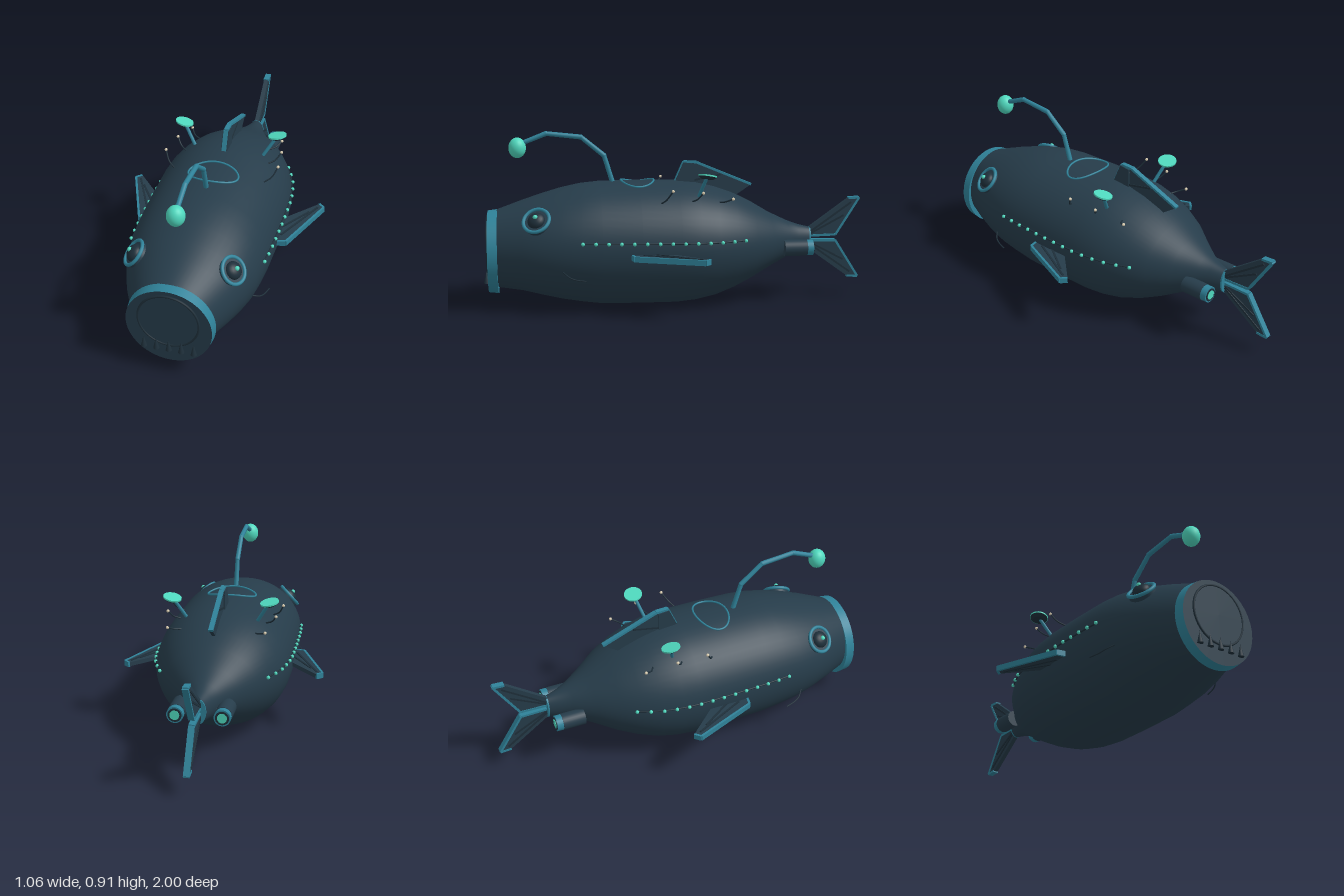
import * as THREE from 'three';

const mat = (name, color, side = THREE.FrontSide) => {
  const m = new THREE.MeshStandardMaterial({ color, side });
  m.name = name;
  return m;
};
const V = (x, y, z) => new THREE.Vector3(x, y, z);

// Hull stations: z, half width, bottom, top
const HULL = [
  [0.94, 0.195, 0.105, 0.505], [0.8, 0.267, 0.085, 0.555], [0.7, 0.305, 0.06, 0.588],
  [0.6, 0.331, 0.037, 0.617], [0.5, 0.343, 0.02, 0.638], [0.4, 0.35, 0.007, 0.648],
  [0.2, 0.355, 0.003, 0.65], [0, 0.355, 0.003, 0.648], [-0.1, 0.348, 0.013, 0.638],
  [-0.2, 0.328, 0.035, 0.615], [-0.3, 0.291, 0.073, 0.58], [-0.4, 0.24, 0.122, 0.53],
  [-0.5, 0.165, 0.178, 0.47], [-0.6, 0.093, 0.228, 0.422], [-0.66, 0.062, 0.246, 0.4],
  [-0.72, 0.04, 0.257, 0.385],
];

function section(z) {
  let i = 0;
  while (i < HULL.length - 2 && HULL[i + 1][0] > z) i++;
  const a = HULL[i], b = HULL[i + 1], t = (a[0] - z) / (a[0] - b[0]);
  const [rx, lo, hi] = [1, 2, 3].map((k) => a[k] + (b[k] - a[k]) * t);
  return { rx, ry: (hi - lo) / 2, cy: (hi + lo) / 2 };
}
const hullX = (y, z) => {
  const s = section(z);
  return s.rx * Math.sqrt(Math.max(0, 1 - ((y - s.cy) / s.ry) ** 2));
};
const hullY = (x, z) => {
  const s = section(z);
  return s.cy + s.ry * Math.sqrt(Math.max(0, 1 - (x / s.rx) ** 2));
};

function hullGeometry() {
  const n = 56, pos = [], idx = [];
  for (const [z] of HULL) {
    const s = section(z);
    for (let j = 0; j < n; j++) {
      const a = (j / n) * Math.PI * 2;
      pos.push(s.rx * Math.cos(a), s.cy + s.ry * Math.sin(a), z);
    }
  }
  for (let i = 0; i < HULL.length - 1; i++) {
    for (let j = 0; j < n; j++) {
      const a = i * n + j, b = i * n + ((j + 1) % n), c = a + n, d = b + n;
      idx.push(a, c, b, b, c, d);
    }
  }
  const g = new THREE.BufferGeometry();
  g.setAttribute('position', new THREE.Float32BufferAttribute(pos, 3));
  g.setIndex(idx);
  g.computeVertexNormals();
  return g;
}

export function createModel() {
  const model = new THREE.Group();
  model.name = 'anglerSubmarine';
  const navy = mat('hullNavy', 0x263c4a);
  const dark = mat('darkTrim', 0x1e2f3a);
  const teal = mat('tealTrim', 0x2f8299);
  const glow = mat('glowGreen', 0x4fd8be);
  const cream = mat('creamTips', 0xd9ccb0);

  const add = (name, geo, material, p = [0, 0, 0], parent = model) => {
    const m = new THREE.Mesh(geo, material);
    m.name = name;
    m.position.set(...p);
    parent.add(m);
    return m;
  };
  const tube = (name, pts, r, material, closed = false, seg = 24) =>
    add(name, new THREE.TubeGeometry(new THREE.CatmullRomCurve3(pts, closed), seg, r, 8, closed), material);
  const rod = (name, a, b, r, material, r2 = r) => {
    const m = add(name, new THREE.CylinderGeometry(r2, r, a.distanceTo(b), 12), material);
    m.position.copy(a).add(b).multiplyScalar(0.5);
    m.quaternion.setFromUnitVectors(V(0, 1, 0), b.clone().sub(a).normalize());
    return m;
  };

  // Flat fin with trimmed edges and ribs, drawn in its own XY plane
  const fin = (name, pts, thick, edges, ribs) => {
    const g = new THREE.Group();
    g.name = name;
    const shape = new THREE.Shape(pts.map((p) => new THREE.Vector2(...p)));
    add(name + 'Blade', new THREE.ExtrudeGeometry(shape, { depth: thick, bevelEnabled: false }),
      navy, [0, 0, -thick / 2], g);
    const strip = (label, a, b, w, d, m) => {
      const dx = b[0] - a[0], dy = b[1] - a[1];
      const s = add(label, new THREE.BoxGeometry(Math.hypot(dx, dy), w, d), m,
        [(a[0] + b[0]) / 2, (a[1] + b[1]) / 2, 0], g);
      s.rotation.z = Math.atan2(dy, dx);
    };
    for (const [i, j] of edges) strip(name + 'Edge', pts[i], pts[j], 0.012, thick + 0.006, teal);
    for (const [a, b] of ribs) strip(name + 'Rib', a, b, 0.01, thick + 0.008, dark);
    model.add(g);
    return g;
  };

  // Hull and tail cap
  add('hull', hullGeometry(), navy);
  const cap = add('tailCap', new THREE.CylinderGeometry(1, 1, 0.012, 32), teal, [0, 0.321, -0.722]);
  cap.rotation.x = Math.PI / 2;
  cap.scale.set(0.04, 1, 0.064);

  // Mouth collar, face plate, mouth ring and teeth
  const collar = add('mouthCollar', new THREE.CylinderGeometry(0.213, 0.219, 0.05, 64),
    [teal, navy, teal], [0, 0.29, 0.952]);
  collar.rotation.x = Math.PI / 2;
  add('mouthRing', new THREE.TorusGeometry(0.15, 0.006, 8, 64), dark, [0, 0.327, 0.98]);
  const plate = add('mouthPlate', new THREE.CylinderGeometry(0.148, 0.148, 0.01, 64), navy, [0, 0.327, 0.977]);
  plate.rotation.x = Math.PI / 2;
  for (let i = -2; i <= 2; i++) {
    add('tooth', new THREE.ConeGeometry(0.015, 0.065, 12), dark, [i * 0.062, 0.18, 0.985]);
  }

  // Lure stalk and bulb
  const stalk = [[0.63, 0.325], [0.783, 0.372], [0.88, 0.49], [0.9, 0.67], [0.855, 0.785], [0.83, 0.82]]
    .map(([y, z]) => V(0, y, z));
  for (let i = 0; i < stalk.length - 1; i++) {
    rod('lureStalk', stalk[i], stalk[i + 1], 0.013, teal, 0.012);
    if (i) add('lureJoint', new THREE.SphereGeometry(0.013, 12, 8), teal, stalk[i].toArray());
  }
  add('lureBulb', new THREE.SphereGeometry(0.045, 24, 16), glow, [0, 0.828, 0.818]).scale.y = 1.18;

  // Hatch seam following the hull
  const hatch = [];
  for (let i = 0; i < 32; i++) {
    const a = (i / 32) * Math.PI * 2, x = 0.13 * Math.cos(a), z = 0.2 + 0.086 * Math.sin(a);
    hatch.push(V(x, hullY(x, z) + 0.004, z));
  }
  tube('hatchRing', hatch, 0.005, teal, true, 64);

  // Dorsal fin, with a thicker root spine
  const dorsal = fin('dorsalFin', [[0.01, 0.62], [-0.045, 0.745], [-0.11, 0.742], [-0.405, 0.62], [-0.3, 0.55]],
    0.018, [[0, 1], [1, 2], [2, 3]], [[[-0.02, 0.65], [-0.1, 0.72]], [[-0.06, 0.64], [-0.24, 0.675]]]);
  dorsal.rotation.y = -Math.PI / 2;
  const spine = [[0.012, 0.62], [-0.042, 0.742], [-0.1, 0.735], [-0.1, 0.62]];
  fin('dorsalSpine', spine, 0.034, [], []).rotation.y = -Math.PI / 2;

  // Tail flukes, mirrored about the tail axis
  for (const s of [1, -1]) {
    const f = (z, h) => [z, 0.325 + s * h];
    fin('tailFluke', [f(-0.71, 0.05), f(-0.935, 0.212), f(-0.994, 0.215), f(-0.868, 0.016), f(-0.71, 0.012)],
      0.024, [[1, 2], [2, 3], [3, 4]],
      [[f(-0.73, 0.035), f(-0.95, 0.19)], [f(-0.73, 0.025), f(-0.91, 0.12)]]).rotation.y = -Math.PI / 2;
  }

  for (const s of [1, -1]) {
    // Pectoral fin
    const p = (x, z) => [s * x, z];
    const pec = fin('pectoralFin', [p(0.32, 0.26), p(0.395, 0.245), p(0.526, -0.088), p(0.498, -0.115), p(0.32, 0.08)],
      0.022, [[0, 1], [1, 2], [2, 3]],
      [[p(0.36, 0.2), p(0.495, -0.08)], [p(0.34, 0.15), p(0.46, -0.03)]]);
    pec.rotation.x = Math.PI / 2;
    pec.position.y = 0.308;

    // Eye: rim, dark dome, glowing pupil
    const eye = new THREE.Group();
    eye.name = 'eye';
    eye.position.set(s * 0.243, 0.482, 0.725);
    eye.quaternion.setFromUnitVectors(V(0, 0, 1), V(s * 0.7, 0.65, 0.28).normalize());
    model.add(eye);
    add('eyeRim', new THREE.TorusGeometry(0.067, 0.009, 10, 40), teal, [0, 0, 0.008], eye);
    const socket = add('eyeSocket', new THREE.CylinderGeometry(0.066, 0.072, 0.05, 32), navy, [0, 0, -0.018], eye);
    socket.rotation.x = Math.PI / 2;
    add('eyeDome', new THREE.SphereGeometry(0.045, 24, 16), dark, [0, 0, 0.006], eye).scale.z = 0.7;
    add('pupil', new THREE.SphereGeometry(0.012, 12, 10), glow, [0, 0.004, 0.036], eye);

    // Thruster pod
    const pod = (name, r, len, z, m) => {
      add(name, new THREE.CylinderGeometry(r, r, len, 28), m, [s * 0.115, 0.293, z]).rotation.x = Math.PI / 2;
    };
    pod('thruster', 0.043, 0.12, -0.625, navy);
    pod('thrusterNozzle', 0.041, 0.035, -0.7, teal);
    pod('thrusterThroat', 0.034, 0.006, -0.717, dark);
    pod('thrusterGlow', 0.024, 0.008, -0.718, glow);
    rod('thrusterStrut', V(0, 0.31, -0.63), V(s * 0.1, 0.295, -0.63), 0.012, navy);

    // Side lights on a thin rail
    const rail = [];
    for (let i = 0; i < 14; i++) {
      const z = 0.5 - i * 0.064, y = 0.38 - i * 0.001;
      const x = s * (hullX(y, z) + 0.003);
      rail.push(V(x, y, z));
      add('sideLight', new THREE.SphereGeometry(0.0095, 10, 8), glow, [x + s * 0.005, y, z]);
    }
    tube('lightRail', rail, 0.004, dark, false, 40);

    // Dish antenna
    rod('dishStem', V(s * 0.185, 0.585, -0.1), V(s * 0.248, 0.69, -0.132), 0.009, teal);
    const dish = new THREE.Group();
    dish.name = 'dish';
    dish.position.set(s * 0.253, 0.695, -0.135);
    dish.quaternion.setFromUnitVectors(V(0, 1, 0), V(-s * 0.2, 0.96, -0.15).normalize());
    model.add(dish);
    add('dishFace', new THREE.CylinderGeometry(0.048, 0.048, 0.008, 28), glow, [0, 0.004, 0], dish);
    add('dishBack', new THREE.CylinderGeometry(0.046, 0.03, 0.012, 28), dark, [0, -0.006, 0], dish);

    // Feelers with cream tips: base z, tip x, y, z
    for (const [bz, x, y, z] of [[0.1, 0.3, 0.63, 0.045], [-0.06, 0.283, 0.616, -0.11], [-0.205, 0.25, 0.578, -0.268]]) {
      const bx = x - 0.065, by = hullY(bx, bz) - 0.01;
      tube('feeler', [V(s * bx, by, bz), V(s * (bx + 0.04), by + (y - by) * 0.35, bz - 0.025), V(s * x, y, z)],
        0.004, dark, false, 12);
      add('feelerTip', new THREE.SphereGeometry(0.008, 10, 8), cream, [s * x, y, z]);
    }

    // Chin barbel
    tube('barbel', [V(s * 0.31, 0.235, 0.6), V(s * 0.342, 0.214, 0.57), V(s * 0.355, 0.203, 0.54), V(s * 0.37, 0.197, 0.485)],
      0.0035, dark, false, 14);
  }
  return model;
}
